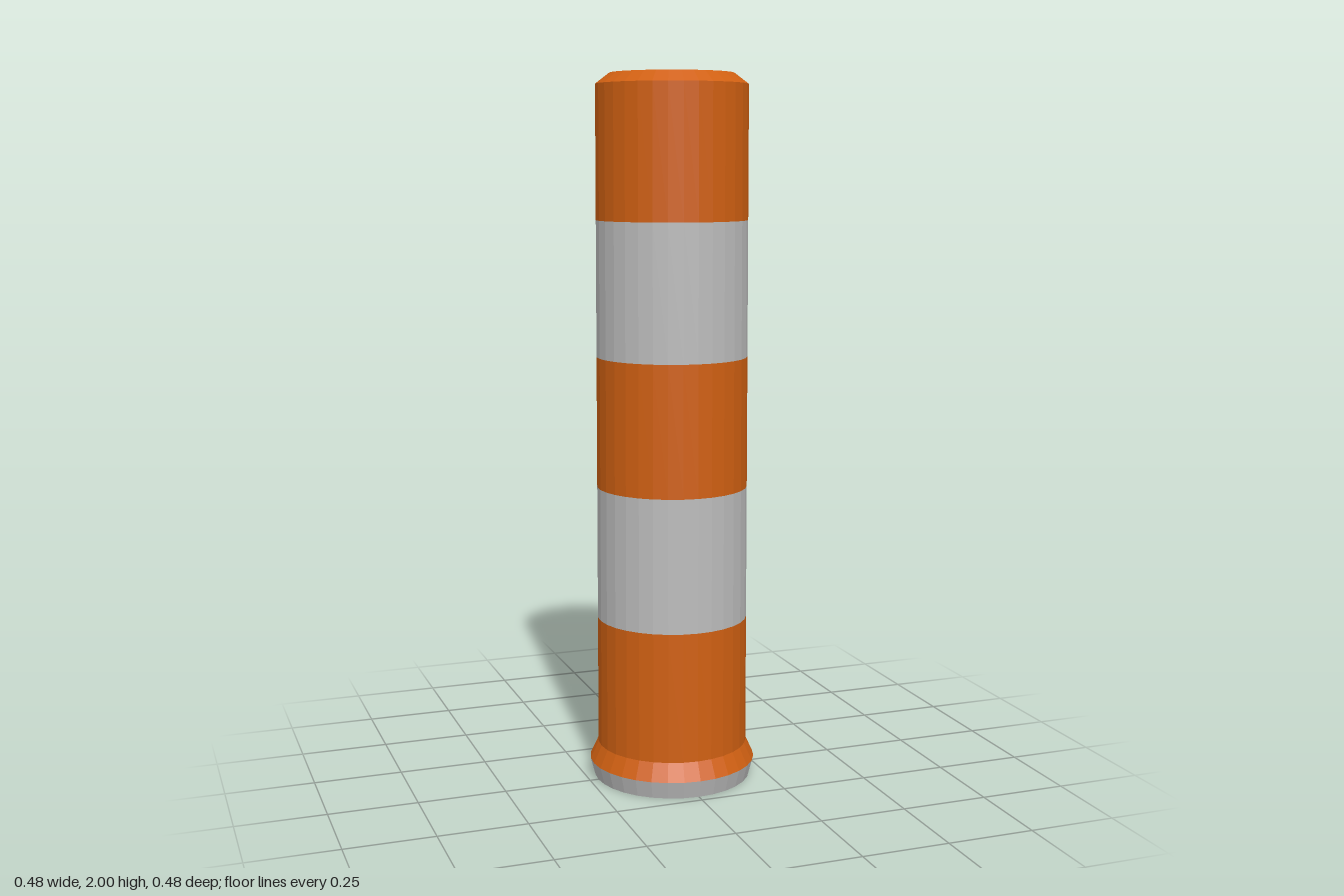
import * as THREE from 'three';

const SIDES = 32;

export function createModel() {
  const group = new THREE.Group();
  const orange = new THREE.MeshStandardMaterial({ color: 0xd06012, flatShading: true });
  orange.name = 'orange';
  const grey = new THREE.MeshStandardMaterial({ color: 0xbcbcbc, flatShading: true });
  grey.name = 'reflective grey';

  // Ring or disc swept from [radius, height] pairs, listed bottom to top
  const turned = (name, points, material) => {
    const profile = points.map(([r, y]) => new THREE.Vector2(r, y));
    const mesh = new THREE.Mesh(new THREE.LatheGeometry(profile, SIDES), material);
    mesh.name = name;
    group.add(mesh);
  };

  // Slightly tapered post radius
  const radiusAt = (y) => THREE.MathUtils.mapLinear(y, 0.1, 1.97, 0.2145, 0.2115);

  // Base: underside, grey rim and flared foot
  turned('underside', [[0, 0], [0.225, 0]], orange);
  turned('baseRim', [[0.225, 0], [0.238, 0.05]], grey);
  turned('flaredFoot', [[0.238, 0.05], [radiusAt(0.1), 0.1]], orange);

  // Alternating bands of the post
  const levels = [0.1, 0.47, 0.85, 1.22, 1.6, 1.97];
  for (let i = 0; i < levels.length - 1; i++) {
    const [a, b] = [levels[i], levels[i + 1]];
    const striped = i % 2 === 1;
    turned(striped ? 'reflectiveBand' : 'postBand',
      [[radiusAt(a), a], [radiusAt(b), b]], striped ? grey : orange);
  }

  // Bevelled cap
  turned('cap', [[radiusAt(1.97), 1.97], [0.172, 2], [0, 2]], orange);

  return group;
}
